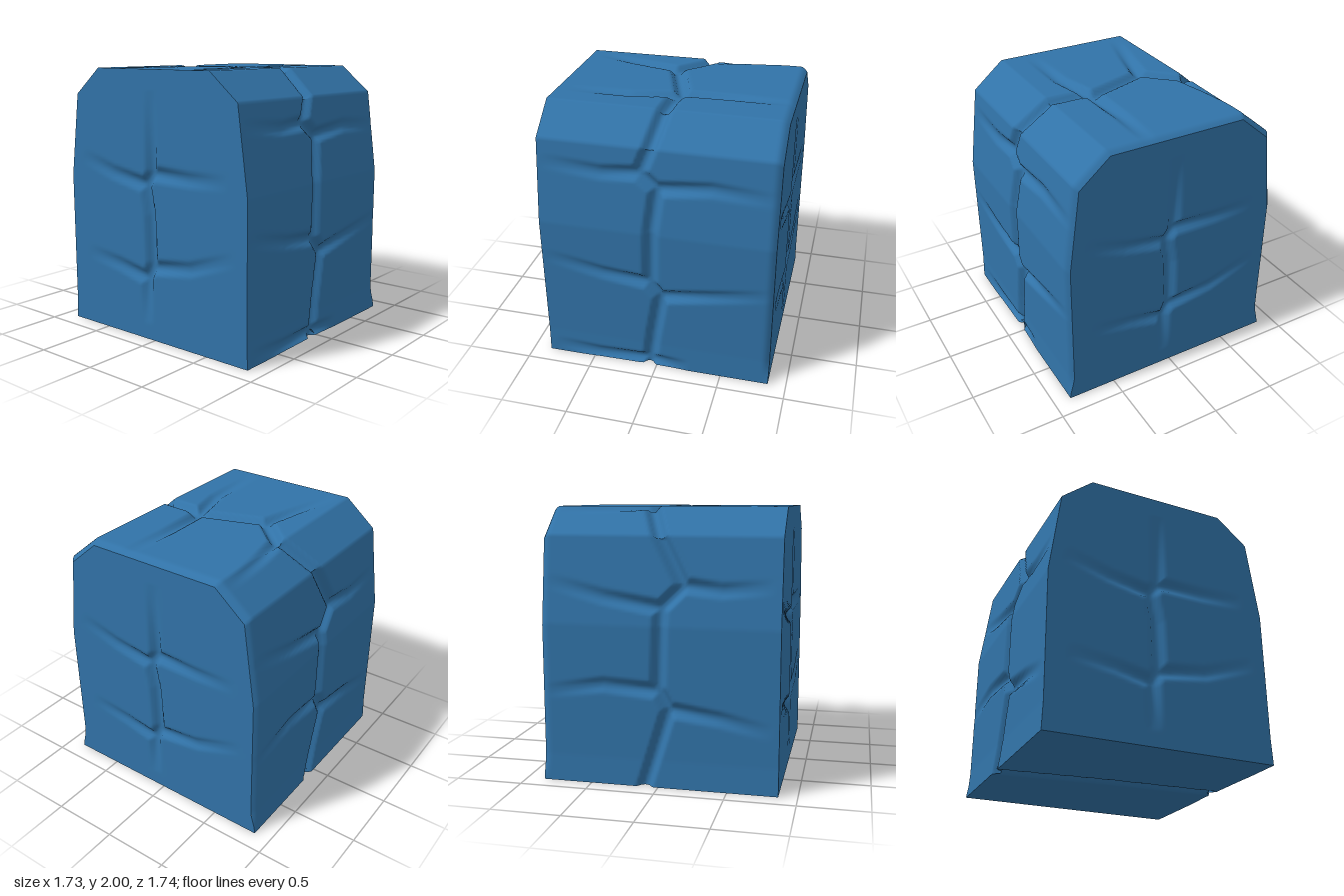
import * as THREE from 'three';

const HALF = 0.865;
const stone = new THREE.MeshStandardMaterial({ color: 0x3173a8 });
stone.name = 'blueStone';

// Half-depth of the block at each height, from the ground to the chamfered top
const SIDE = [[0.87, 0], [0.862, 0.2], [0.864, 1.17], [0.78, 1.8], [0.54, 2]];

function halfDepth(y) {
  for (let i = 1; i < SIDE.length; i++) {
    const [z0, y0] = SIDE[i - 1], [z1, y1] = SIDE[i];
    if (y <= y1) return z0 + (z1 - z0) * (y - y0) / (y1 - y0);
  }
  return 0.54;
}

// Splits a polyline into short steps and keeps its corners
function subdivide(points, step) {
  const out = [points[0]];
  for (let i = 1; i < points.length; i++) {
    const [a, b] = points[i - 1], [c, d] = points[i];
    const n = Math.ceil(Math.hypot(c - a, d - b) / step);
    for (let k = 1; k <= n; k++) out.push([a + (c - a) * k / n, b + (d - b) * k / n]);
  }
  return out;
}

// A crack is a path of 3D points with a depth that runs from start to end
const crack = (toPoint, from, to, path) => path.map(([a, b], i) => ({
  p: new THREE.Vector3(...toPoint(a, b)),
  depth: from + (to - from) * i / (path.length - 1),
}));
const onFront = (x, y) => [x, y, halfDepth(y)];
const onBack = (x, y) => [x, y, -halfDepth(y)];
const onTop = (x, z) => [x, 2, z];
const onBase = (x, z) => [x, 0, z];
const onEnd = (z, y) => [HALF, y, z];

const D = 0.05;
const wrapCracks = [
  // front
  crack(onFront, D, D, [[0, 2], [-0.05, 1.8], [-0.12, 1.62], [0.01, 1.52], [-0.03, 1.2], [-0.04, 0.75], [0.04, 0.65], [-0.02, 0.3], [-0.06, 0]]),
  crack(onFront, D, 0, [[-0.12, 1.62], [-0.4, 1.6], [-0.85, 1.64]]),
  crack(onFront, D, 0, [[0.01, 1.52], [0.4, 1.56], [0.86, 1.53]]),
  crack(onFront, D, 0, [[-0.04, 0.76], [-0.4, 0.8], [-0.85, 0.89]]),
  crack(onFront, D, 0, [[0.04, 0.65], [0.4, 0.71], [0.86, 0.79]]),
  crack(onFront, D, 0, [[-0.06, 0.05], [-0.45, 0.05], [-0.82, 0.08]]),
  crack(onFront, D, 0, [[-0.06, 0.05], [0.25, 0.04]]),
  // top
  crack(onTop, D, D, [[0.11, -0.54], [0.12, -0.51], [-0.11, -0.27], [0.05, 0.22], [0.01, 0.32], [0, 0.54]]),
  crack(onTop, D, 0, [[0.12, -0.51], [0.4, -0.56], [0.87, -0.62]]),
  crack(onTop, D, 0, [[-0.11, -0.27], [-0.4, -0.34], [-0.8, -0.45]]),
  crack(onTop, D, 0, [[0.05, 0.22], [0.45, 0.21], [0.87, 0.23]]),
  crack(onTop, D, 0, [[0.05, 0.23], [-0.3, 0.31], [-0.8, 0.32]]),
  // back
  crack(onBack, D, D, [[0.11, 2], [0, 1.8], [-0.18, 1.46], [-0.02, 1.3], [0, 0.72], [-0.08, 0.58], [0.1, 0]]),
  crack(onBack, D, 0, [[-0.18, 1.46], [-0.45, 1.43], [-0.82, 1.46]]),
  crack(onBack, D, 0, [[-0.02, 1.3], [0.4, 1.37], [0.84, 1.48]]),
  crack(onBack, D, 0, [[0, 0.71], [0.4, 0.74], [0.86, 0.67]]),
  crack(onBack, D, 0, [[-0.08, 0.58], [-0.45, 0.53], [-0.82, 0.45]]),
  // underside
  crack(onBase, D, D, [[0.1, -0.87], [0, 0], [-0.06, 0.87]]),
];
const E = 0.04;
const endCracks = [
  crack(onEnd, 0, E, [[0.01, 1.85], [0.01, 1.55], [0.01, 1.26]]),
  crack(onEnd, E, E, [[0.01, 1.26], [0.07, 1.17], [0.03, 0.95], [0.02, 0.58], [0.07, 0.47]]),
  crack(onEnd, E, 0, [[0.07, 0.47], [0.06, 0.12]]),
  crack(onEnd, E, 0, [[0.07, 1.17], [0.4, 1.23], [0.74, 1.33]]),
  crack(onEnd, E, 0, [[0.01, 1.26], [-0.35, 1.25], [-0.7, 1.26]]),
  crack(onEnd, E, 0, [[0.07, 0.47], [0.35, 0.53], [0.7, 0.58]]),
  crack(onEnd, E, 0, [[0.02, 0.56], [-0.35, 0.61], [-0.76, 0.75]]),
];

// How far the surface sinks at a point: a soft-shouldered groove round each path
const seg = new THREE.Line3(), near = new THREE.Vector3();
function sink(p, cracks) {
  let deepest = 0;
  for (const path of cracks) {
    for (let i = 1; i < path.length; i++) {
      seg.set(path[i - 1].p, path[i].p);
      const t = seg.closestPointToPointParameter(p, true);
      const d = seg.at(t, near).distanceTo(p);
      if (d > 0.065) continue;
      const depth = path[i - 1].depth + (path[i].depth - path[i - 1].depth) * t;
      deepest = Math.max(deepest, depth * (1 - THREE.MathUtils.smoothstep(d, 0.012, 0.065)));
    }
  }
  return deepest;
}

// Softens the edge of the block at +x, except at its flared foot
function wornEdge(p) {
  const k = THREE.MathUtils.clamp((p.x - 0.81) / (HALF - 0.81), 0, 1) ** 2;
  p.z *= 1 - 0.035 * k * THREE.MathUtils.smoothstep(p.y, 0, 0.2);
  p.y *= 1 - 0.016 * k;
  return p;
}

// Mesh from a grid of points: point(column, row) returns a Vector3
function gridMesh(name, cols, rows, point) {
  const pos = [], index = [];
  for (let j = 0; j < rows; j++) {
    for (let i = 0; i < cols; i++) {
      pos.push(...point(i, j).toArray());
      if (i && j) {
        const d = j * cols + i, c = d - 1, b = d - cols, a = b - 1;
        index.push(a, b, d, a, d, c);
      }
    }
  }
  const geo = new THREE.BufferGeometry();
  geo.setAttribute('position', new THREE.Float32BufferAttribute(pos, 3));
  geo.setIndex(index);
  geo.computeVertexNormals();
  const mesh = new THREE.Mesh(geo, stone);
  mesh.name = name;
  return mesh;
}

export function createModel() {
  const group = new THREE.Group();
  group.name = 'crackedStoneBlock';

  // Front, top, back and underside, each strip swept along x
  const mirrored = SIDE.map(([z, y]) => [-z, y]).reverse();
  const strips = {
    weatheredShell: subdivide([...SIDE, ...mirrored], 0.018),
    underside: subdivide([[-0.87, 0], [0.87, 0]], 0.025),
  };
  const COLS = 97;
  for (const [name, line] of Object.entries(strips)) {
    const last = line.length - 1;
    group.add(gridMesh(name, COLS, line.length, (i, j) => {
      const [z, y] = line[j];
      const a = line[Math.max(j - 1, 0)], b = line[Math.min(j + 1, last)];
      const normal = new THREE.Vector3(0, -(b[0] - a[0]), b[1] - a[1]).normalize();
      // keep the seam at the ground shared by both strips
      if (j === 0 || j === last) normal.set(0, 0, Math.sign(z));
      const p = new THREE.Vector3(-HALF + 2 * HALF * i / (COLS - 1), y, z);
      const depth = sink(p, wrapCracks);
      return wornEdge(p).addScaledVector(normal, -depth);
    }));
  }

  // Flat ends with the same cracks, turned half round for the second one
  const heights = subdivide(SIDE, 0.02);
  for (const side of [1, -1]) {
    const name = side > 0 ? 'leftEnd' : 'rightEnd';
    group.add(gridMesh(name, 89, heights.length, (i, j) => {
      const [w, y] = heights[j];
      const p = new THREE.Vector3(HALF, y, w * (1 - 2 * i / 88));
      const depth = sink(p, endCracks);
      if (side < 0) p.set(-HALF, y, -p.z);
      wornEdge(p);
      p.x -= side * depth;
      return p;
    }));
  }
  return group;
}
